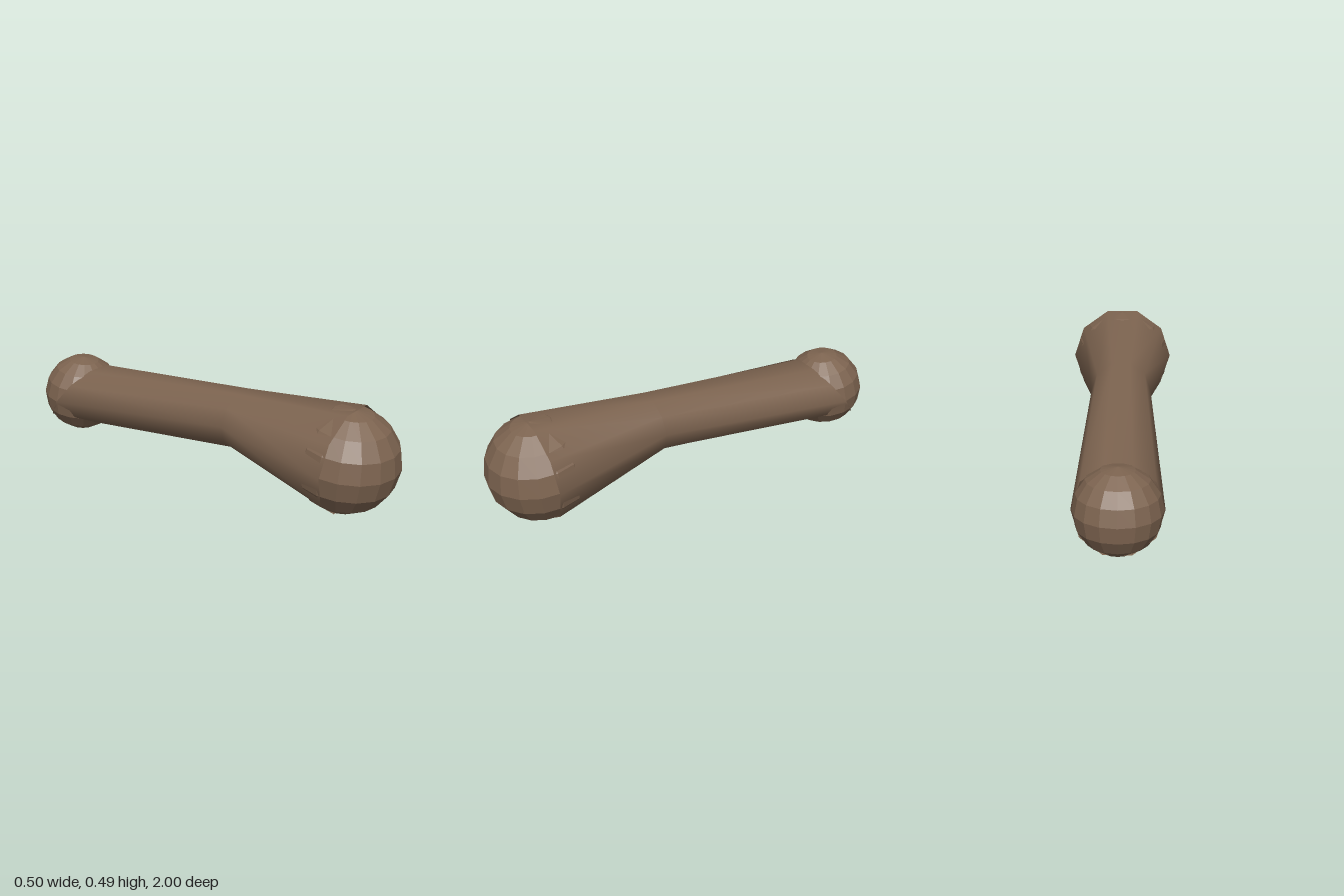
import * as THREE from 'three';

const SIDES = 10;

// Shaft rings from front to back: height, depth, radius, forward tilt
const RINGS = [
  { y: 0.24, z: 0.777, r: 0.251, tilt: 0.094 },
  { y: 0.285, z: 0.187, r: 0.142, tilt: 0.094 },
  { y: 0.178, z: -0.81, r: 0.194, tilt: 0.64 },
];

// Open tube joining the tilted rings, smooth all round
function shaftGeometry() {
  const positions = [];
  const indices = [];
  RINGS.forEach(({ y, z, r, tilt }, ring) => {
    for (let i = 0; i < SIDES; i++) {
      const a = (i / SIDES) * Math.PI * 2;
      const up = Math.sin(a) * r;
      positions.push(Math.cos(a) * r, y + up * Math.cos(tilt), z + up * Math.sin(tilt));
      if (ring === RINGS.length - 1) continue;
      const a0 = ring * SIDES + i;
      const a1 = ring * SIDES + ((i + 1) % SIDES);
      indices.push(a0, a0 + SIDES, a1, a1, a0 + SIDES, a1 + SIDES);
    }
  });
  const geometry = new THREE.BufferGeometry();
  geometry.setAttribute('position', new THREE.Float32BufferAttribute(positions, 3));
  geometry.setIndex(indices);
  geometry.computeVertexNormals();
  return geometry;
}

// Faceted ball closing one end of the shaft
function knob(name, radius, y, z, material) {
  const geometry = new THREE.SphereGeometry(radius, 16, 8).toNonIndexed();
  geometry.computeVertexNormals();
  const mesh = new THREE.Mesh(geometry, material);
  mesh.name = name;
  mesh.position.set(0, y, z);
  mesh.rotation.x = 0.094;
  return mesh;
}

export function createModel() {
  const group = new THREE.Group();
  group.name = 'limb';
  const brown = new THREE.MeshStandardMaterial({ color: 0x7d6450, side: THREE.DoubleSide });
  brown.name = 'brown';

  const shaft = new THREE.Mesh(shaftGeometry(), brown);
  shaft.name = 'shaft';
  group.add(shaft);

  group.add(knob('frontKnob', 0.24, 0.24, 0.76, brown));
  group.add(knob('backKnob', 0.19, 0.177, -0.81, brown));
  return group;
}
